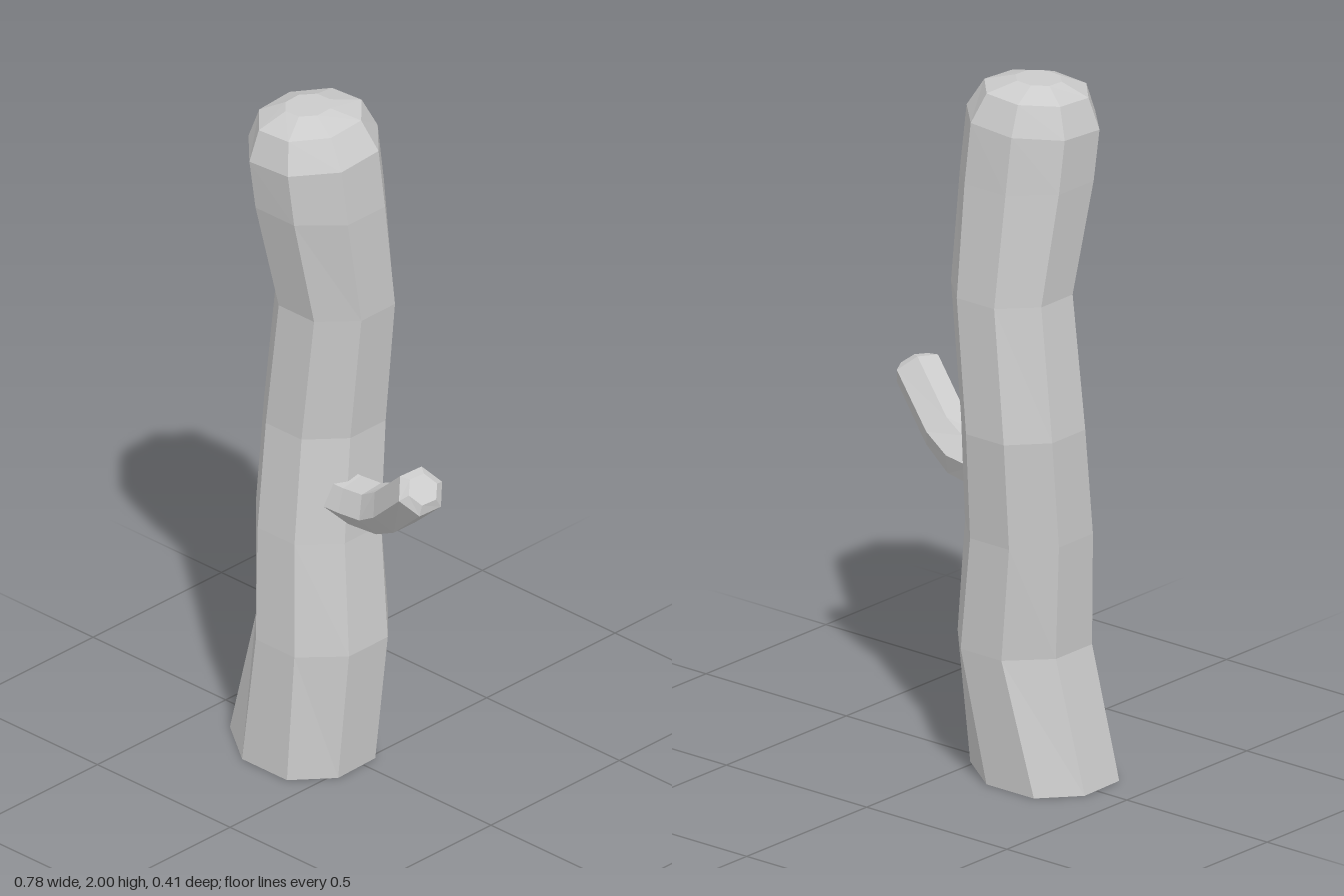
import * as THREE from 'three';

// Skins a list of rings, leaving the first open and closing the last with a fan.
function loft(rings, name) {
  const pos = [];
  const tri = (a, b, c) => pos.push(...a.toArray(), ...b.toArray(), ...c.toArray());
  const sides = rings[0].length;
  for (let i = 0; i < rings.length - 1; i++) {
    for (let k = 0; k < sides; k++) {
      const n = (k + 1) % sides;
      const a = rings[i][k], b = rings[i][n], c = rings[i + 1][n], d = rings[i + 1][k];
      tri(a, c, b);
      tri(a, d, c);
    }
  }
  const last = rings[rings.length - 1];
  const end = last.reduce((s, p) => s.add(p), new THREE.Vector3()).divideScalar(sides);
  last.forEach((p, k) => tri(end, last[(k + 1) % sides], p));

  const geometry = new THREE.BufferGeometry();
  geometry.setAttribute('position', new THREE.Float32BufferAttribute(pos, 3));
  geometry.computeVertexNormals();
  const mesh = new THREE.Mesh(geometry, new THREE.MeshStandardMaterial({
    color: 0xcccccc, flatShading: true, side: THREE.DoubleSide,
  }));
  mesh.name = name;
  return mesh;
}

// Eight-sided trunk ring from its extents; skew slides its front and back faces sideways.
function trunkRing([y, x0, x1, z0, z1, tilt = 0, skew = 0]) {
  const rx = (x1 - x0) / 2, rz = (z1 - z0) / 2;
  const round = 1 / Math.cos(Math.PI / 8); // flat-to-corner ratio
  return Array.from({ length: 8 }, (_, k) => {
    const angle = ((k + 0.5) / 8) * Math.PI * 2;
    const dx = Math.cos(angle) * rx * round;
    const dz = Math.sin(angle) * rz * round;
    const slide = skew * dz * (dz / rz) ** 2;
    return new THREE.Vector3((x0 + x1) / 2 + dx + slide, y + tilt * (dx - dz), (z0 + z1) / 2 + dz);
  });
}

// Six-sided branch ring, square to the path direction.
function branchRing(center, direction, radius) {
  const front = new THREE.Vector3(-direction.z, 0, direction.x).normalize();
  const up = new THREE.Vector3().crossVectors(front, direction);
  return Array.from({ length: 6 }, (_, k) => {
    const angle = THREE.MathUtils.degToRad(60 * k - 10);
    return center.clone()
      .addScaledVector(front, Math.cos(angle) * radius)
      .addScaledVector(up, Math.sin(angle) * radius);
  });
}

export function createModel() {
  const group = new THREE.Group();
  group.name = 'trunkWithBranch';

  // Crooked trunk, open underneath: y, x min, x max, z min, z max, tilt, skew
  const trunk = [
    [0, -0.39, 0.018, -0.155, 0.205, 0, 0.17],
    [0.38, -0.305, 0.045, -0.175, 0.19],
    [0.71, -0.325, 0.01, -0.18, 0.165, 0, 0.04],
    [1.02, -0.325, 0.0, -0.205, 0.13, 0, 0.04],
    [1.4, -0.28, 0.042, -0.193, 0.125, 0, 0.04],
    [1.72, -0.307, 0.045, -0.16, 0.19],
    [1.88, -0.315, 0.035, -0.145, 0.205, 0.06],
    [1.965, -0.285, -0.015, -0.11, 0.175, 0.06],
    [1.995, -0.215, -0.095, -0.025, 0.097, 0.04],
  ];
  group.add(loft(trunk.map(trunkRing), 'trunk'));

  // Side branch curving up and forward, with a blunt tip: x, y, z, radius
  const path = [
    [-0.08, 0.832, 0.03, 0.07],
    [0.02, 0.834, 0.03, 0.07],
    [0.11, 0.845, 0.035, 0.07],
    [0.19, 0.888, 0.055, 0.07],
    [0.338, 1.016, 0.107, 0.07],
    [0.353, 1.03, 0.113, 0.045],
  ];
  const points = path.map(([x, y, z]) => new THREE.Vector3(x, y, z));
  const rings = path.map(([, , , radius], i) => {
    const ahead = points[Math.min(i + 1, points.length - 1)];
    const behind = points[Math.max(i - 1, 0)];
    return branchRing(points[i], ahead.clone().sub(behind).normalize(), radius);
  });
  group.add(loft(rings, 'branch'));

  return group;
}
